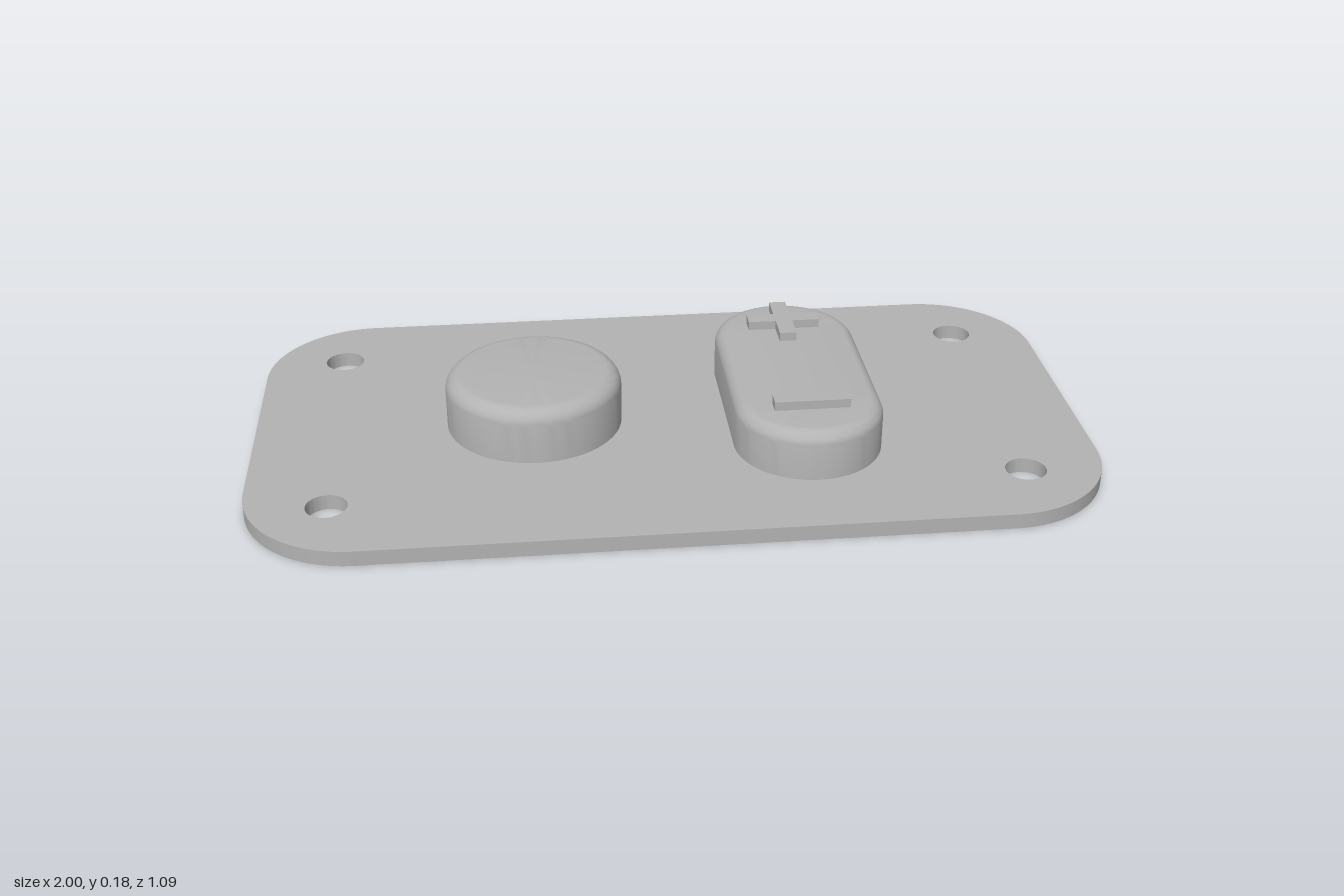
import * as THREE from 'three';
import { toCreasedNormals } from 'three/addons/utils/BufferGeometryUtils.js';

const PLATE_H = 0.037, GROOVE_H = 0.012;
const ROUND_X = -0.325, ROUND_R = 0.213;
const PILL_X = 0.32, PILL_R = 0.177, PILL_HALF = 0.178;

function circle(x, y, r) {
  const path = new THREE.Path();
  path.absarc(x, y, r, 0, Math.PI * 2, true);
  return path;
}

// Stadium outline, long in the second axis
function stadium(x, r, half, Type) {
  const s = new Type();
  s.absarc(x, half, r, 0, Math.PI, false);
  s.absarc(x, -half, r, Math.PI, Math.PI * 2, false);
  s.closePath();
  return s;
}

function plateShape() {
  const w = 1, d = 0.547, r = 0.265, s = new THREE.Shape();
  s.absarc(w - r, d - r, r, 0, Math.PI / 2, false);
  s.absarc(-w + r, d - r, r, Math.PI / 2, Math.PI, false);
  s.absarc(-w + r, -d + r, r, Math.PI, Math.PI * 1.5, false);
  s.absarc(w - r, -d + r, r, Math.PI * 1.5, Math.PI * 2, false);
  s.closePath();
  for (const sx of [-1, 1]) for (const sy of [-1, 1]) s.holes.push(circle(sx * 0.807, sy * 0.356, 0.048));
  return s;
}

// Extrude a plan outline upwards from y
function slab(shape, y, height) {
  const g = new THREE.ExtrudeGeometry(shape, { depth: height, bevelEnabled: false, curveSegments: 24 });
  g.rotateX(-Math.PI / 2).translate(0, y, 0);
  return toCreasedNormals(g, 0.5);
}

// Side wall, rounded edge and flat top, from the bottom to the axis
function capProfile(r, top, fillet, axis) {
  const pts = [[r, 0]];
  for (let i = 0; i <= 8; i++) {
    const a = (i / 8) * Math.PI / 2;
    pts.push([r - fillet + Math.cos(a) * fillet, top - fillet + Math.sin(a) * fillet]);
  }
  pts.push([axis, top]);
  return pts;
}

// Turned part; stretch pulls its two halves apart along z
function turned(points, stretch = 0) {
  const n = 64;
  const g = new THREE.LatheGeometry(points.map(p => new THREE.Vector2(...p)), n, Math.PI / n);
  const pos = g.attributes.position;
  for (let i = 0; i < pos.count; i++) pos.setZ(i, pos.getZ(i) + Math.sign(pos.getZ(i)) * stretch);
  return toCreasedNormals(g, 0.5);
}

export function createModel() {
  const group = new THREE.Group();
  const grey = new THREE.MeshStandardMaterial({ color: 0xb3b3b3 });
  grey.name = 'grey';

  function add(name, geometry, x = 0, y = 0, z = 0, parent = group) {
    const mesh = new THREE.Mesh(geometry, grey);
    mesh.name = name;
    mesh.position.set(x, y, z);
    parent.add(mesh);
  }

  // Base plate: the lower layer is opened around the buttons to leave grooves
  const lower = plateShape();
  lower.holes.push(circle(ROUND_X, 0, 0.256), stadium(PILL_X, 0.22, PILL_HALF, THREE.Path));
  add('plateLower', slab(lower, 0, GROOVE_H));
  add('plateUpper', slab(plateShape(), GROOVE_H, PLATE_H - GROOVE_H));

  // Round button with a hollow underside
  add('roundButton', turned([
    [0, 0.145], [0.177, 0.145], [0.177, 0], ...capProfile(ROUND_R, 0.172, 0.04, 0),
  ]), ROUND_X);

  // Long button with two sockets underneath
  const rocker = new THREE.Group();
  rocker.name = 'longButton';
  rocker.position.x = PILL_X;
  group.add(rocker);
  add('longButtonBody', turned(capProfile(PILL_R, 0.157, 0.035, 1e-6), PILL_HALF), 0, 0, 0, rocker);
  const base = stadium(0, PILL_R, PILL_HALF, THREE.Shape);
  for (const s of [-1, 1]) {
    base.holes.push(circle(0, s * 0.213, 0.107));
    add('longButtonSocket', turned([[0, 0.115], [0.107, 0.115], [0.107, 0]]), 0, 0, s * 0.213, rocker);
  }
  add('longButtonBase', new THREE.ShapeGeometry(base, 24).rotateX(Math.PI / 2), 0, 0, 0, rocker);

  // Raised cross and bar marks
  const a = 0.09, b = 0.021;
  const cross = new THREE.Shape([
    [a, -b], [a, b], [b, b], [b, a], [-b, a], [-b, b],
    [-a, b], [-a, -b], [-b, -b], [-b, -a], [b, -a], [b, -b],
  ].map(p => new THREE.Vector2(...p)));
  add('crossMark', slab(cross, 0.15, 0.029), 0, 0, -0.214, rocker);
  add('barMark', new THREE.BoxGeometry(0.18, 0.029, 0.04), 0, 0.1645, 0.214, rocker);

  return group;
}
